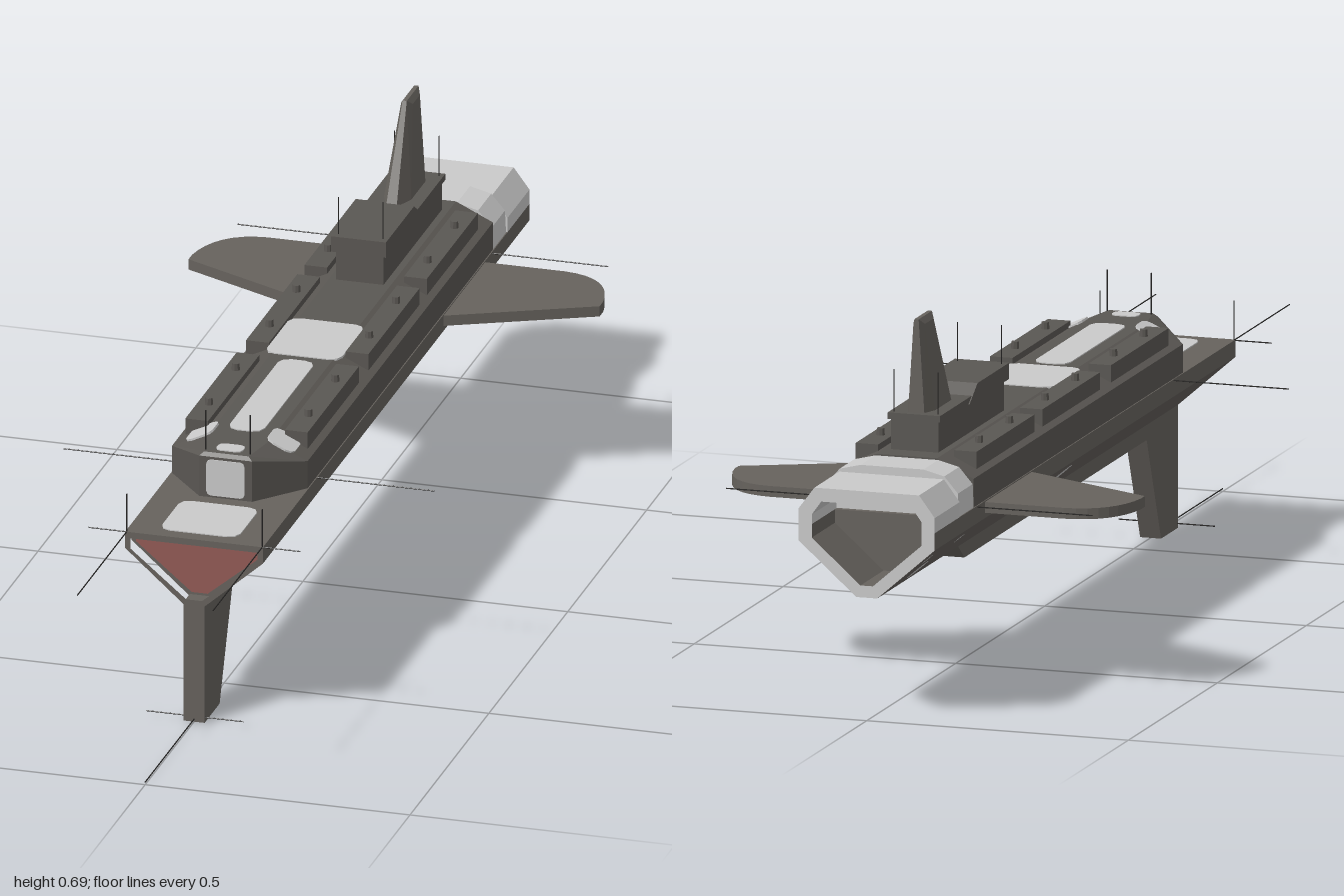
import * as THREE from 'three';
import { ConvexGeometry } from 'three/addons/geometries/ConvexGeometry.js';

const mat = (name, color, side = THREE.FrontSide) => {
  const m = new THREE.MeshStandardMaterial({ color, side, flatShading: true });
  m.name = name;
  return m;
};

export function createModel() {
  const hullMat = mat('hull grey', 0x66625d);
  const deckMat = mat('deck grey', 0x5a5753);
  const lightMat = mat('light grey', 0xcacaca);
  const redMat = mat('bow red', 0x925a56);
  const rodMat = mat('antenna dark', 0x262524);

  const model = new THREE.Group();
  model.name = 'ship';
  const add = (name, geo, material, x = 0, y = 0, z = 0, parent = model) => {
    const m = new THREE.Mesh(geo, material);
    m.name = name;
    m.position.set(x, y, z);
    parent.add(m);
    return m;
  };
  const box = (name, material, w, h, d, x, y, z) => add(name, new THREE.BoxGeometry(w, h, d), material, x, y, z);
  const poly = (pts) => new THREE.Shape(pts.map(([x, y]) => new THREE.Vector2(x, y)));
  const extrude = (shape, depth) => new THREE.ExtrudeGeometry(shape, { depth, bevelEnabled: false, curveSegments: 8 });
  const hullOf = (pts) => new ConvexGeometry(pts.map((p) => new THREE.Vector3(...p)));
  const mirror = (half) => [...half, ...half.map(([x, y]) => [-x, y]).reverse()];

  // Main hull with a recessed red bow panel
  const hullOuter = mirror([[0.13, 0.357], [0.13, 0.325], [0.02, 0.228]]);
  const bowInner = mirror([[0.12, 0.345], [0.12, 0.325], [0.015, 0.238]]);
  add('hull', extrude(poly(hullOuter), 1.52), hullMat, 0, 0, -0.87);
  const bowRim = poly(hullOuter);
  bowRim.holes.push(poly(bowInner));
  add('bowRim', extrude(bowRim, 0.04), hullMat, 0, 0, 0.65);
  add('bowPanel', extrude(poly(bowInner), 0.004), redMat, 0, 0, 0.65);

  // Keel rail and downward bow fin, drawn in (z, y)
  const sideProfile = (name, pts, width) => {
    const g = extrude(poly(pts.map(([z, y]) => [-z, y])), width);
    g.translate(0, 0, -width / 2);
    g.rotateY(Math.PI / 2);
    add(name, g, hullMat);
  };
  sideProfile('keelRail', [[0.69, 0.232], [0.69, 0.2], [-0.51, 0.2], [-0.55, 0.232]], 0.04);
  sideProfile('keelFin', [[0.69, 0.21], [0.69, 0], [0.595, 0], [0.51, 0.21]], 0.04);

  // Hollow stern: dark lower shell with light rim, light hood above
  const lower = poly([[-0.13, 0.357], [-0.13, 0.325], [-0.02, 0.228], [0.02, 0.228], [0.13, 0.325], [0.13, 0.357],
    [0.105, 0.357], [0.105, 0.332], [0.012, 0.25], [-0.012, 0.25], [-0.105, 0.332], [-0.105, 0.357]]);
  add('sternShell', extrude(lower, 0.13), [lightMat, hullMat], 0, 0, -1);
  const hood = poly([[0.13, 0.357], [0.13, 0.385], [0.1, 0.425], [-0.1, 0.425], [-0.13, 0.385], [-0.13, 0.357],
    [-0.105, 0.357], [-0.105, 0.375], [-0.087, 0.4], [0.087, 0.4], [0.105, 0.375], [0.105, 0.357]]);
  add('sternHood', extrude(hood, 0.14), lightMat, 0, 0, -1);
  const collar = mirror([[0.128, 0.357], [0.126, 0.4], [0.1, 0.43], [0.06, 0.44]].reverse());
  add('sternCollar', extrude(poly(collar), 0.083), lightMat, 0, 0, -0.858);

  // Upper deckhouse with a tapered nose
  const deckPts = [];
  for (const s of [-1, 1]) {
    for (const z of [-0.775, 0.4]) {
      deckPts.push([s * 0.128, 0.355, z], [s * 0.128, 0.41, z], [s * 0.058, 0.443, z]);
    }
    deckPts.push([s * 0.05, 0.355, 0.49], [s * 0.05, 0.436, 0.49], [s * 0.042, 0.443, 0.485]);
  }
  add('deckhouse', hullOf(deckPts), deckMat);

  // Long deck pods with small knobs
  for (const s of [-1, 1]) {
    for (const z of [0.195, -0.19, -0.56]) {
      box('deckPod', deckMat, 0.043, 0.038, 0.325, s * 0.094, 0.429, z);
      for (const dz of [-0.085, 0.085]) {
        add('podKnob', new THREE.CylinderGeometry(0.007, 0.008, 0.014, 8), deckMat, s * 0.094, 0.454, z + dz);
      }
    }
  }

  // Tower, bridge and tail fin
  box('towerBase', deckMat, 0.09, 0.065, 0.37, 0, 0.475, -0.545);
  box('towerRoof', deckMat, 0.1, 0.012, 0.38, 0, 0.506, -0.545);
  const bridge = [];
  for (const s of [-0.052, 0.052]) {
    bridge.push([s, 0.5, -0.352], [s, 0.53, -0.352], [s, 0.53, -0.53], [s, 0.5, -0.575]);
  }
  add('bridge', hullOf(bridge), deckMat);
  const fin = [];
  for (const s of [-1, 1]) {
    fin.push([s * 0.01, 0.51, -0.56], [s * 0.026, 0.51, -0.6], [s * 0.026, 0.51, -0.69], [s * 0.015, 0.51, -0.72],
      [s * 0.004, 0.685, -0.645], [s * 0.011, 0.674, -0.66], [s * 0.011, 0.674, -0.705], [s * 0.004, 0.685, -0.72]);
  }
  add('tailFin', hullOf(fin), hullMat);

  // Wings with a rounded trailing tip
  for (const s of [-1, 1]) {
    const w = new THREE.Shape();
    w.moveTo(s * 0.12, -0.45);
    w.lineTo(s * 0.388, -0.578);
    w.lineTo(s * 0.388, -0.6);
    w.bezierCurveTo(s * 0.38, -0.67, s * 0.345, -0.715, s * 0.28, -0.718);
    w.lineTo(s * 0.12, -0.718);
    const g = extrude(w, 0.02);
    g.rotateX(Math.PI / 2);
    add('wing', g, hullMat, 0, 0.355, 0);
  }

  // Light rounded plates lying on the decks
  const plate = (name, w, l, x, y, z, r = 0.02) => {
    const a = w / 2, b = l / 2;
    const g = extrude(poly([[-a + r, -b], [a - r, -b], [a - r * 0.3, -b + r * 0.3], [a, -b + r], [a, b - r],
      [a - r * 0.3, b - r * 0.3], [a - r, b], [-a + r, b], [-a + r * 0.3, b - r * 0.3], [-a, b - r],
      [-a, -b + r], [-a + r * 0.3, -b + r * 0.3]]), 0.004);
    g.rotateX(-Math.PI / 2);
    return add(name, g, lightMat, x, y, z);
  };
  plate('bowPlate', 0.148, 0.142, 0, 0.355, 0.592);
  plate('longDeckPlate', 0.066, 0.345, 0, 0.441, 0.2);
  plate('midDeckPlate', 0.142, 0.17, 0, 0.441, -0.077);
  plate('nosePlate', 0.05, 0.032, 0, 0.441, 0.458, 0.01);
  const frontPlate = plate('nosePanel', 0.072, 0.07, 0, 0.396, 0.488, 0.008);
  frontPlate.rotation.x = Math.PI / 2;
  for (const s of [-1, 1]) {
    const p = plate('shoulderPlate', 0.056, 0.062, s * 0.076, 0.4335, 0.378, 0.015);
    p.rotation.z = -s * 0.44;
  }

  // Round light patches on the sloping hull sides
  for (const s of [-1, 1]) {
    for (const [z, y, r] of [[-0.2, 0.295, 0.029], [-0.9, 0.265, 0.026], [-0.8, 0.305, 0.012], [-0.96, 0.3, 0.013]]) {
      const n = new THREE.Vector3(s * 0.661, -0.75, 0);
      const x = s * (0.02 + 0.11 * (y - 0.228) / 0.097);
      const c = add('hullPatch', new THREE.CircleGeometry(r, 12), lightMat, x + n.x * 0.002, y + n.y * 0.002, z);
      c.quaternion.setFromUnitVectors(new THREE.Vector3(0, 0, 1), n);
    }
  }

  // Thin antenna rods between two points
  const rod = (a, b) => {
    const p = new THREE.Vector3(...a), q = new THREE.Vector3(...b);
    const m = add('antenna', new THREE.CylinderGeometry(0.0012, 0.0012, p.distanceTo(q), 5), rodMat);
    m.position.copy(p).add(q).multiplyScalar(0.5);
    m.quaternion.setFromUnitVectors(new THREE.Vector3(0, 1, 0), q.sub(p).normalize());
  };
  rod([0, 0.005, 0.68], [0, 0.005, 1]);
  rod([-0.092, 0.009, 0.685], [0.092, 0.009, 0.685]);
  for (const s of [-1, 1]) {
    rod([s * 0.128, 0.356, 0.68], [s * 0.128, 0.356, 1]);
    rod([s * 0.128, 0.356, 0.687], [s * 0.2, 0.356, 0.687]);
    rod([s * 0.128, 0.355, 0.687], [s * 0.128, 0.43, 0.687]);
    rod([s * 0.12, 0.355, 0.342], [s * 0.35, 0.355, 0.342]);
    rod([s * 0.12, 0.355, -0.762], [s * 0.35, 0.355, -0.762]);
    rod([s * 0.042, 0.44, 0.475], [s * 0.042, 0.52, 0.475]);
    rod([s * 0.042, 0.52, -0.367], [s * 0.042, 0.602, -0.367]);
    rod([s * 0.042, 0.5, -0.723], [s * 0.042, 0.59, -0.723]);
  }
  return model;
}
